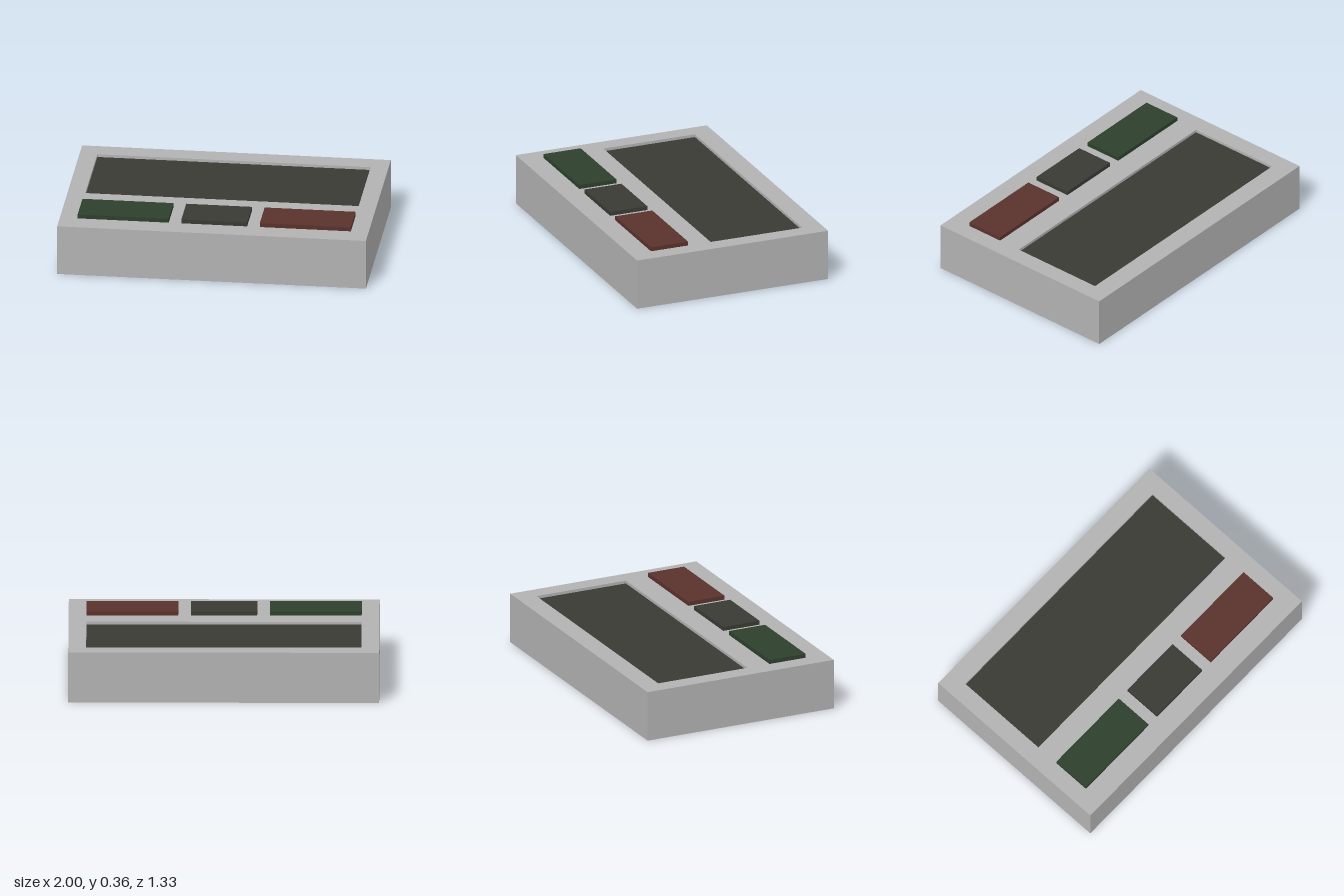
import * as THREE from 'three';

const material = (name, color) => {
  const m = new THREE.MeshStandardMaterial({ color });
  m.name = name;
  return m;
};

// Box given by its limits on each axis
function slab(name, mat, [x0, x1], [y0, y1], [z0, z1]) {
  const mesh = new THREE.Mesh(new THREE.BoxGeometry(x1 - x0, y1 - y0, z1 - z0), mat);
  mesh.position.set((x0 + x1) / 2, (y0 + y1) / 2, (z0 + z1) / 2);
  mesh.name = name;
  return mesh;
}

// Rectangle in plan; shape y becomes -z once the extrusion lies flat
function rectangle(PathType, [x0, x1], [z0, z1]) {
  return new PathType([[x0, -z1], [x1, -z1], [x1, -z0], [x0, -z0]].map(p => new THREE.Vector2(...p)));
}

export function createModel() {
  const group = new THREE.Group();
  group.name = 'controlPanel';
  const grey = material('caseGrey', 0xb2b2b2);
  const dark = material('darkOlive', 0x3a3a34);
  const green = material('darkGreen', 0x2d402c);
  const red = material('darkRed', 0x5a322b);

  const top = 0.333, floor = 0.31;
  const caseX = [-1, 1], caseZ = [-0.667, 0.667];
  const screenX = [-0.885, 0.885], screenZ = [-0.535, 0.105];

  // Case: solid base with a rim around the recessed screen
  group.add(slab('caseBase', grey, caseX, [0, floor], caseZ));
  const rimShape = rectangle(THREE.Shape, caseX, caseZ);
  rimShape.holes.push(rectangle(THREE.Path, screenX, screenZ));
  const rim = new THREE.Mesh(
    new THREE.ExtrudeGeometry(rimShape, { depth: top - floor, bevelEnabled: false }).rotateX(-Math.PI / 2), grey);
  rim.position.y = floor;
  rim.name = 'caseRim';
  group.add(rim);

  // Screen sunk into the rim
  group.add(slab('screen', dark, screenX, [floor, floor + 0.004], screenZ));

  // Row of raised buttons along the front
  for (const [name, mat, x] of [
    ['greenButton', green, [-0.885, -0.295]],
    ['middleButton', dark, [-0.213, 0.213]],
    ['redButton', red, [0.295, 0.885]],
  ]) group.add(slab(name, mat, x, [top, 0.36], [0.263, 0.522]));

  return group;
}
